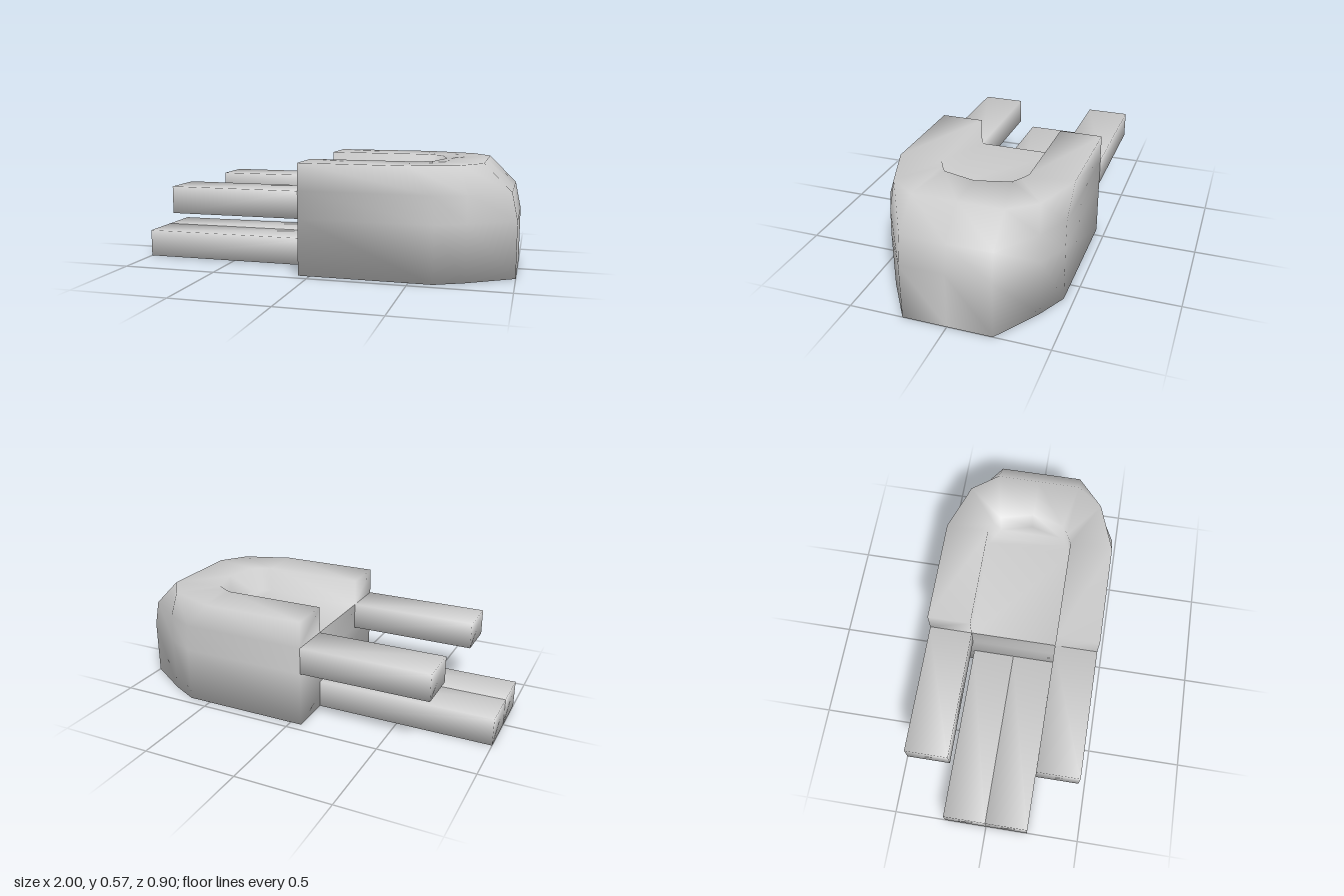
import * as THREE from 'three';
import { mergeVertices } from 'three/addons/utils/BufferGeometryUtils.js';

const material = new THREE.MeshStandardMaterial({ color: 0xcccccc });
const BACK = -0.06; // plane where the bars meet the body

function mesh(name, geometry) {
  const m = new THREE.Mesh(geometry, material);
  m.name = name;
  return m;
}

// U-shaped ring at height y: three half-outline points mirrored around the nose
function ring(y, width, half, nose) {
  const side = [[BACK, width], ...half];
  return [
    ...side.map(([x, z]) => [x, y, -z]),
    [nose, y, 0],
    ...side.reverse().map(([x, z]) => [x, y, z]),
  ];
}

// Rounded block with a shallow recess open at the back and top
function bodyGeometry() {
  const base = [[0.62, 0.45], [0.77, 0.375], [1, 0.225]];
  const hole = [[0.48, 0.225], [0.53, 0.2], [0.575, 0.17]];
  const rings = [
    ring(0, 0.45, base, 1),
    ring(0.29, 0.45, base, 1),
    ring(0.43, 0.45, [[0.61, 0.45], [0.77, 0.37], [0.97, 0.225]], 0.97),
    ring(0.57, 0.45, [[0.48, 0.45], [0.73, 0.36], [0.83, 0.225]], 0.83),
    ring(0.57, 0.225, hole, 0.62),
    ring(0.43, 0.225, hole, 0.62),
  ];
  const n = rings[0].length, last = n - 1, top = rings.length - 1;
  const index = [];
  const id = (r, i) => r * n + i;
  const quad = (a, b, c, d) => index.push(a, b, c, a, c, d);

  // outer wall, rim and recess wall
  for (let r = 0; r < top; r++)
    for (let i = 0; i < last; i++)
      quad(id(r, i), id(r + 1, i), id(r + 1, i + 1), id(r, i + 1));

  // underside and recess floor, spanned from side to side
  for (let i = 0; i < last / 2; i++) {
    const j = last - i;
    quad(id(0, i), id(0, i + 1), id(0, j - 1), id(0, j));
    quad(id(top, i), id(top, j), id(top, j - 1), id(top, i + 1));
  }

  // back face below the recess and the two wall ends
  for (let r = 0; r < 2; r++)
    quad(id(r, 0), id(r, last), id(r + 1, last), id(r + 1, 0));
  quad(id(2, 0), id(5, 0), id(4, 0), id(3, 0));
  quad(id(5, last), id(2, last), id(3, last), id(4, last));

  const g = new THREE.BufferGeometry();
  g.setAttribute('position', new THREE.Float32BufferAttribute(rings.flat(2), 3));
  g.setIndex(index);
  g.computeVertexNormals();
  return g;
}

// Box bar with normals shared across its corners
function barGeometry(tipX, y0, y1, z0, z1) {
  let g = new THREE.BoxGeometry(BACK - tipX, y1 - y0, z1 - z0);
  g.translate((BACK + tipX) / 2, (y0 + y1) / 2, (z0 + z1) / 2);
  g.deleteAttribute('uv');
  g.deleteAttribute('normal');
  g = mergeVertices(g);
  g.computeVertexNormals();
  return g;
}

export function createModel() {
  const group = new THREE.Group();
  group.name = 'model';
  group.add(mesh('body', bodyGeometry()));
  for (const s of [-1, 1]) {
    const span = (a, b) => (s > 0 ? [a, b] : [-b, -a]);
    const side = s > 0 ? 'Front' : 'Back';
    group.add(mesh('upperBar' + side, barGeometry(-0.74, 0.29, 0.43, ...span(0.225, 0.45))));
    group.add(mesh('lowerBar' + side, barGeometry(-1, 0, 0.145, ...span(0, 0.225))));
  }
  return group;
}
